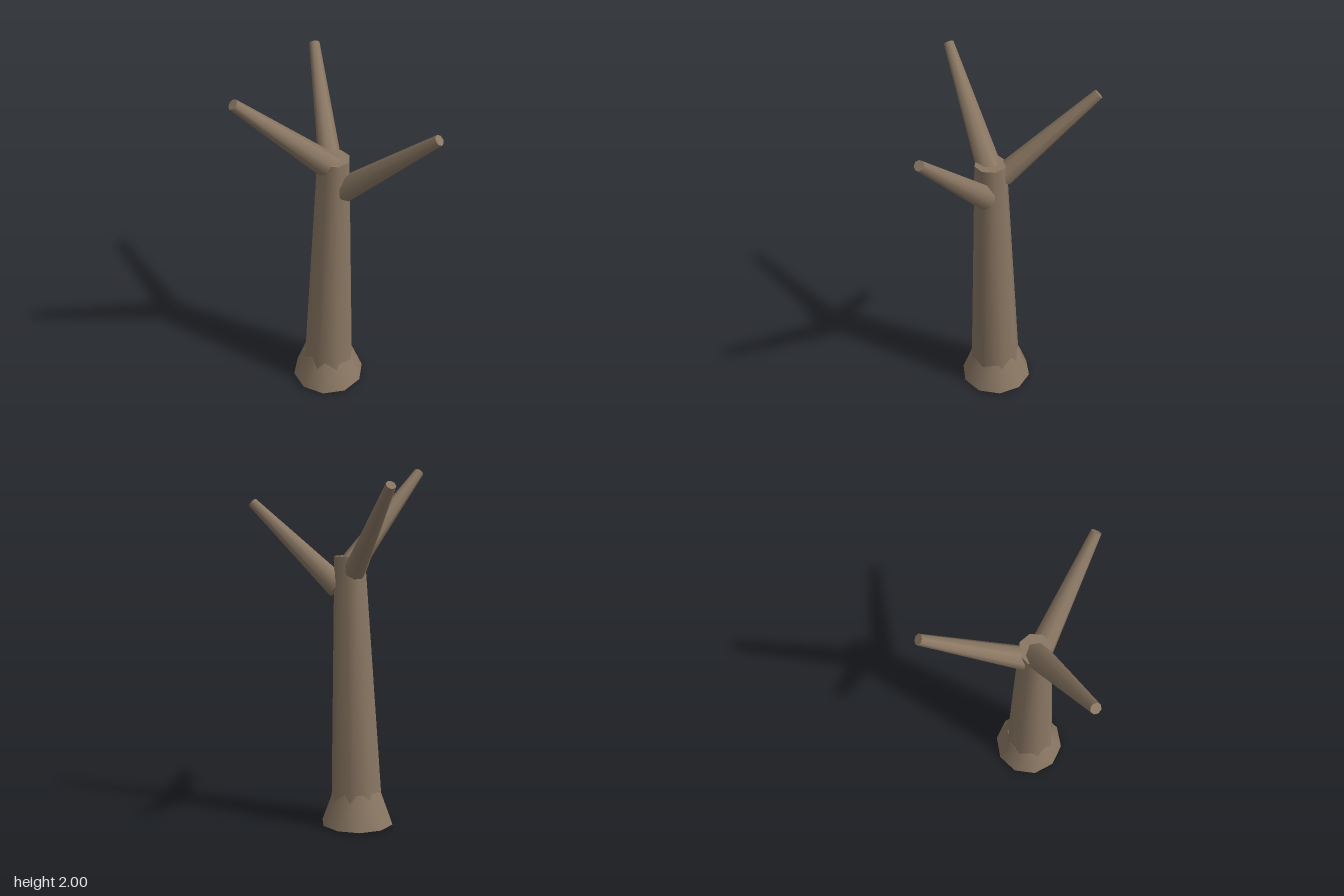
import * as THREE from 'three';

const bark = new THREE.MeshStandardMaterial({ color: 0x8a7763 });
const UP = new THREE.Vector3(0, 1, 0);

// Tapered limb running from one point to another
function limb(name, from, to, r0, r1, sides = 8, twist = 0) {
  const a = new THREE.Vector3(...from);
  const b = new THREE.Vector3(...to);
  const dir = b.clone().sub(a);
  const geo = new THREE.CylinderGeometry(r1, r0, dir.length(), sides);
  geo.rotateY(twist);
  const mesh = new THREE.Mesh(geo, bark);
  mesh.name = name;
  mesh.quaternion.setFromUnitVectors(UP, dir.normalize());
  mesh.position.copy(a).add(b).multiplyScalar(0.5);
  return mesh;
}

export function createModel() {
  const tree = new THREE.Group();
  tree.name = 'bareTree';

  // Slightly leaning trunk and the flared root collar around its foot
  tree.add(limb('trunk', [-0.103, 0.005, 0.098], [-0.058, 1.52, 0.104], 0.152, 0.087, 8, THREE.MathUtils.degToRad(27)));
  tree.add(limb('rootFlare', [-0.103, 0.01, 0.095], [-0.103, 0.2, 0.095], 0.205, 0.134, 10));

  // Three bare branches, their thick ends sunk into the trunk
  tree.add(limb('rightBranch', [-0.07, 1.47, 0.11], [-0.477, 1.98, 0.415], 0.07, 0.028));
  tree.add(limb('leftBranch', [0.0, 1.345, 0.122], [0.475, 1.808, 0.328], 0.067, 0.028));
  tree.add(limb('backBranch', [-0.082, 1.44, 0.045], [-0.228, 1.893, -0.42], 0.062, 0.028));

  return tree;
}
